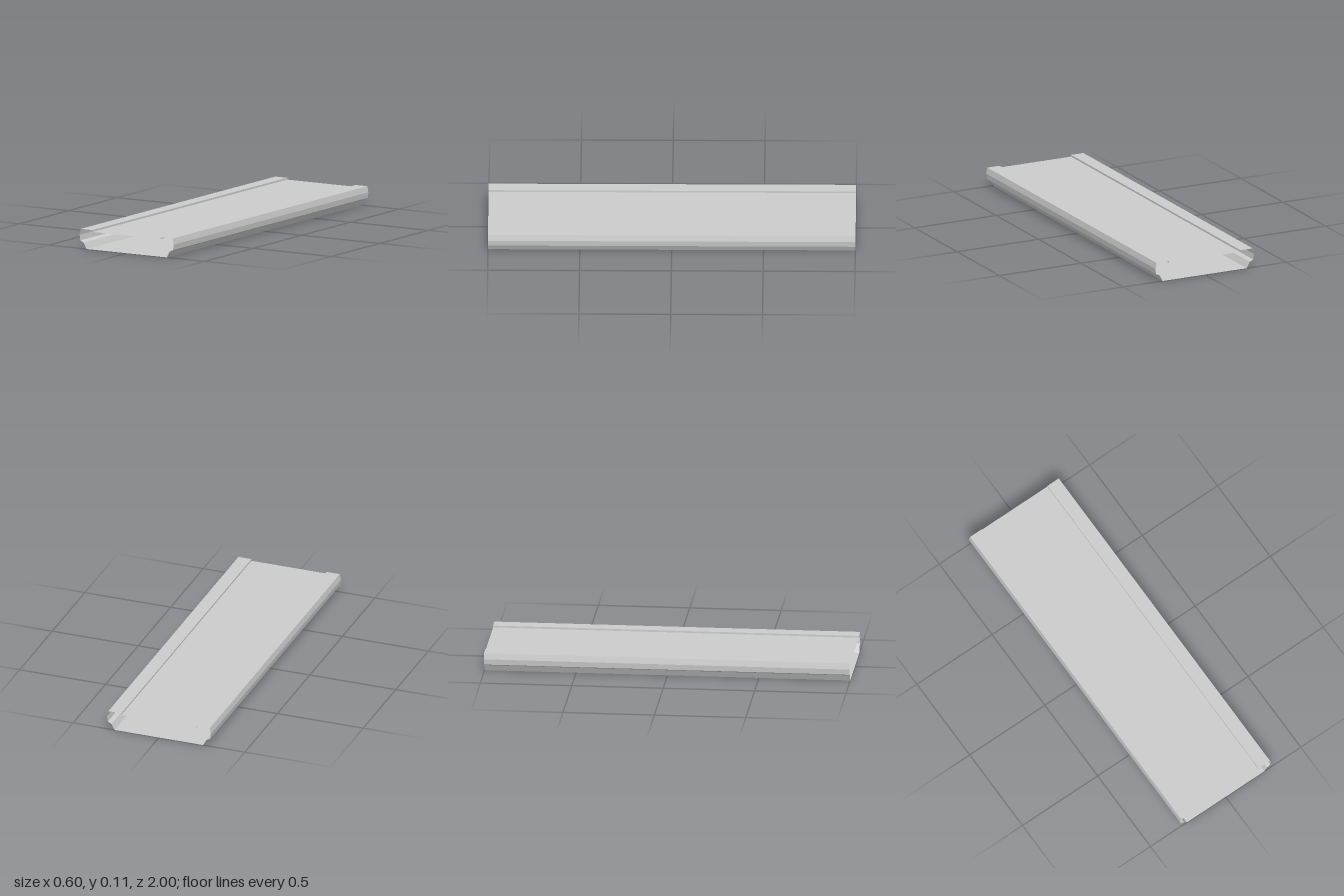
import * as THREE from 'three';

const HALF_LENGTH = 1;
const material = new THREE.MeshStandardMaterial({
  color: 0xcccccc, flatShading: true, side: THREE.DoubleSide,
});

// Open sheet: a cross-section of [x, y] points swept along z
function sheet(name, points) {
  const positions = [];
  for (let i = 0; i < points.length - 1; i++) {
    const [ax, ay] = points[i];
    const [bx, by] = points[i + 1];
    const a = [ax, ay, HALF_LENGTH], b = [bx, by, HALF_LENGTH];
    const c = [bx, by, -HALF_LENGTH], d = [ax, ay, -HALF_LENGTH];
    positions.push(...a, ...b, ...c, ...a, ...c, ...d);
  }
  const geometry = new THREE.BufferGeometry();
  geometry.setAttribute('position', new THREE.Float32BufferAttribute(positions, 3));
  geometry.computeVertexNormals();
  const mesh = new THREE.Mesh(geometry, material);
  mesh.name = name;
  return mesh;
}

export function createModel() {
  const group = new THREE.Group();
  group.name = 'hollowPlank';

  // Half profile of the side, from the floor up and over the raised rim
  const side = [
    [0.258, 0], [0.276, 0.034], [0.298, 0.044], [0.302, 0.075],
    [0.295, 0.108], [0.219, 0.108], [0.219, 0.098],
  ];
  const mirrored = side.map(([x, y]) => [-x, y]).reverse();

  group.add(sheet('leftSideRail', side));
  group.add(sheet('rightSideRail', mirrored));

  // Flat deck between the rims, and the floor below; both ends stay open
  group.add(sheet('deck', [[0.219, 0.098], [-0.219, 0.098]]));
  group.add(sheet('floor', [[-0.258, 0], [0.258, 0]]));
  return group;
}
